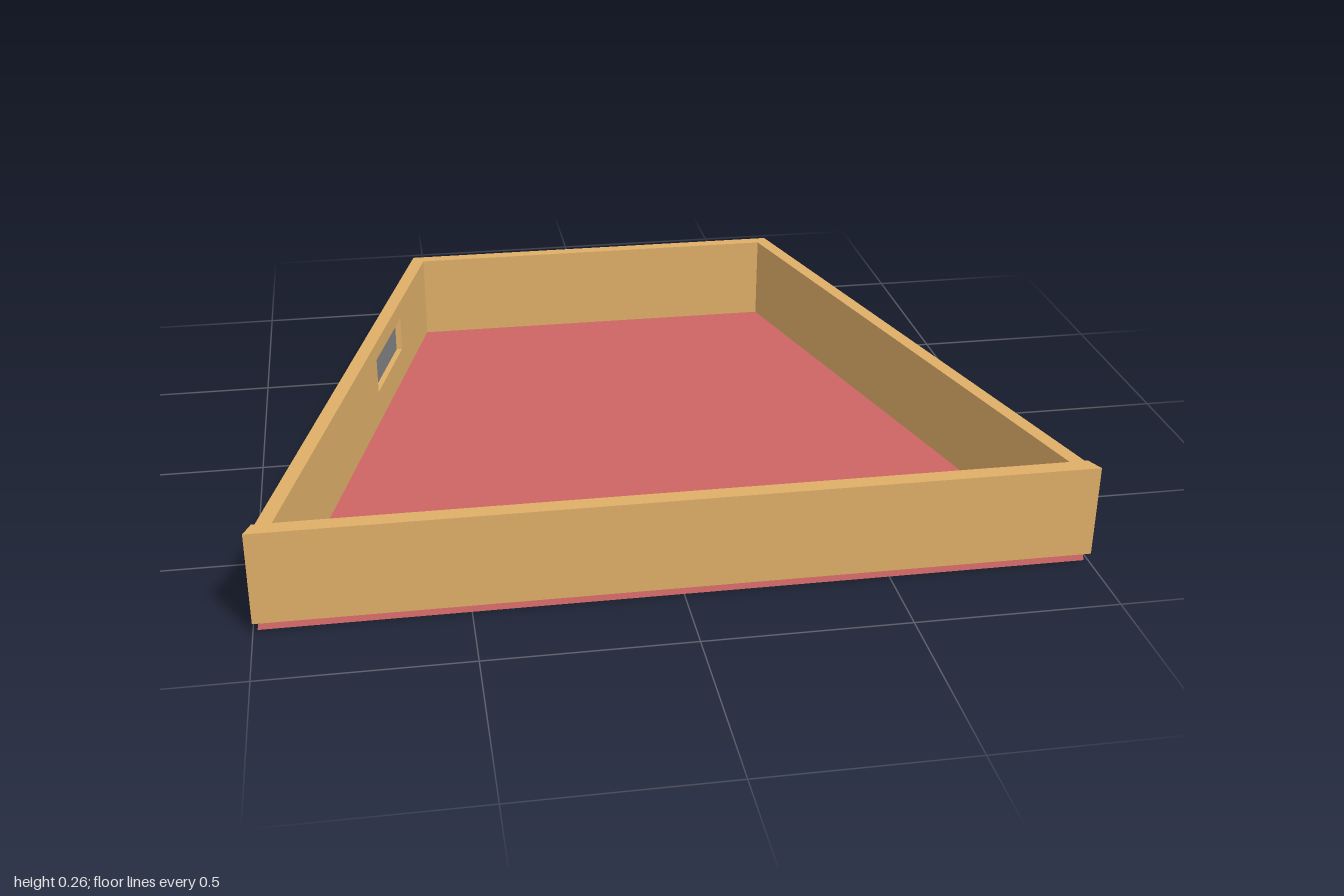
import * as THREE from 'three';

const wood = new THREE.MeshStandardMaterial({ color: 0xdeae68 });
const red = new THREE.MeshStandardMaterial({ color: 0xcd6464 });
const grey = new THREE.MeshStandardMaterial({ color: 0x808084 });

const FLOOR = 0.025, TOP = 0.26;      // wall heights
const BACK = -0.81, FRONT = 0.81;     // depth limits
const THICK = 0.038, SLOPE = 0.27;    // side wall thickness and taper
const WINDOW = { z0: -0.46, z1: -0.18, y0: 0.115, y1: 0.212 };

// Upright prism over a trapezoid plan: half width w0 at z0 (back), w1 at z1 (front)
function trapezoid(z0, w0, z1, w1, y0, y1) {
  const shape = new THREE.Shape([[-w1, -z1], [w1, -z1], [w0, -z0], [-w0, -z0]]
    .map(([x, y]) => new THREE.Vector2(x, y)));
  return new THREE.ExtrudeGeometry(shape, { depth: y1 - y0, bevelEnabled: false })
    .rotateX(-Math.PI / 2).translate(0, y0, 0);
}

function rectangle(Type, z0, z1, y0, y1) {
  const path = new Type();
  path.moveTo(z0, y0).lineTo(z1, y0).lineTo(z1, y1).lineTo(z0, y1).closePath();
  return path;
}

// Slab in the z-y plane, sheared to follow the tapering side of the tray
function sidePanel(shape, side, inset, thickness) {
  const g = new THREE.ExtrudeGeometry(shape, { depth: thickness, bevelEnabled: false });
  g.rotateY(-Math.PI / 2).translate(thickness / 2, 0, 0);
  const p = g.attributes.position;
  for (let i = 0; i < p.count; i++) {
    const outer = 0.548 + SLOPE * (p.getZ(i) - BACK);
    p.setX(i, p.getX(i) + side * (outer - inset - thickness / 2));
  }
  g.computeVertexNormals();
  return g;
}

export function createModel() {
  const group = new THREE.Group();
  const add = (name, geometry, material) => {
    const mesh = new THREE.Mesh(geometry, material);
    mesh.name = name;
    group.add(mesh);
  };

  // Base board, its upper edge slightly narrower
  const base = trapezoid(BACK, 0.56, 0.797, 0.99, 0, FLOOR);
  const p = base.attributes.position;
  for (let i = 0; i < p.count; i++) {
    if (p.getY(i) > FLOOR / 2) p.setXYZ(i, p.getX(i) * 0.995, FLOOR, p.getZ(i) * 0.993);
  }
  base.computeVertexNormals();
  add('base', base, red);

  // Front and back walls
  add('frontWall', trapezoid(0.768, 0.982, FRONT, 1, FLOOR, TOP), wood);
  add('backWall', trapezoid(BACK, 0.52, -0.775, 0.53, FLOOR, TOP), wood);

  // Side walls, the right one with a window
  for (const side of [1, -1]) {
    const shape = rectangle(THREE.Shape, BACK, 0.768, FLOOR, TOP);
    if (side < 0) {
      shape.holes.push(rectangle(THREE.Path, WINDOW.z0, WINDOW.z1, WINDOW.y0, WINDOW.y1));
    }
    add(side > 0 ? 'leftWall' : 'rightWall', sidePanel(shape, side, 0, THICK), wood);
  }

  // Grey pane set into the window
  const pane = rectangle(THREE.Shape, WINDOW.z0, WINDOW.z1, WINDOW.y0, WINDOW.y1);
  add('windowPane', sidePanel(pane, -1, THICK / 2 - 0.003, 0.006), grey);

  return group;
}
